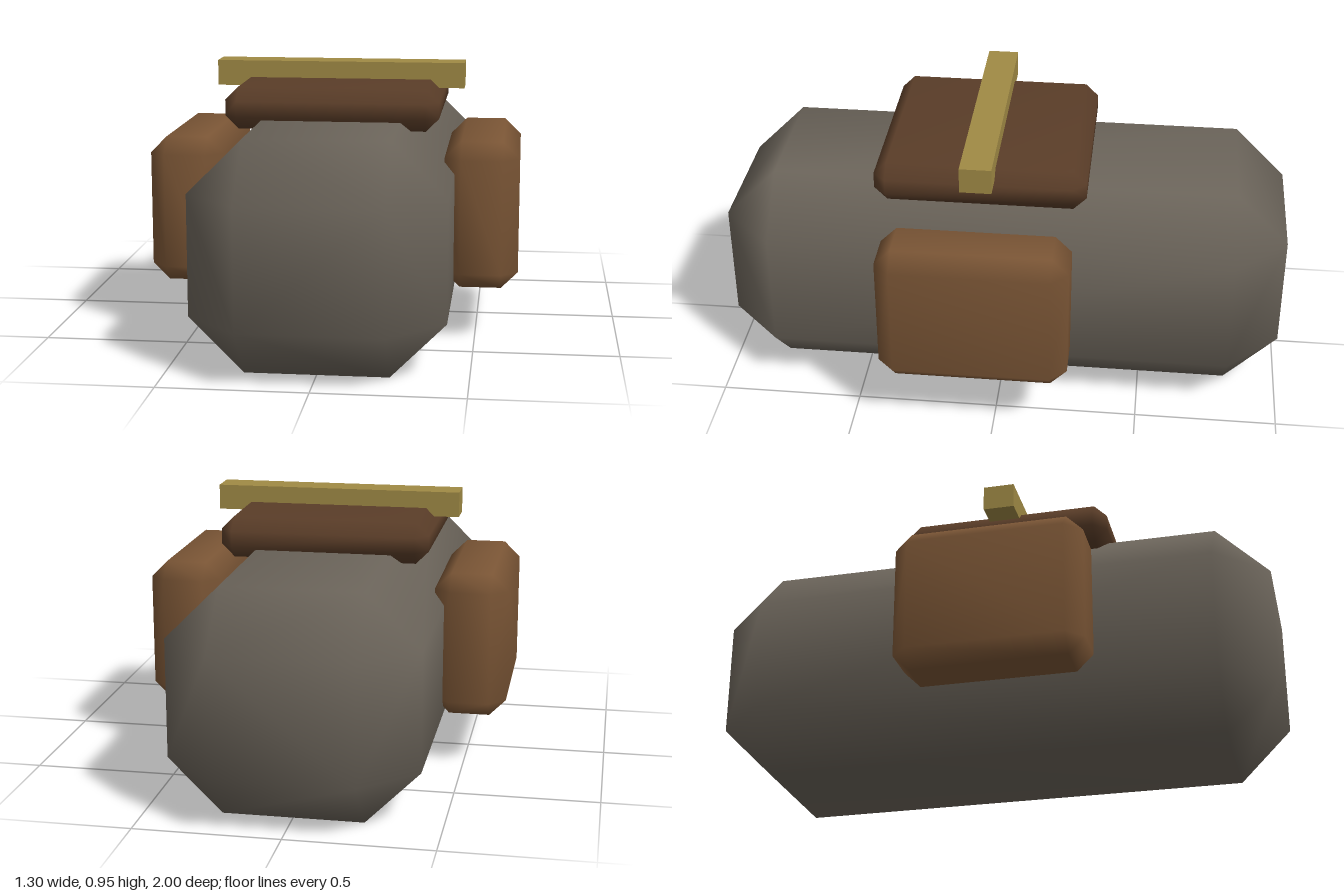
import * as THREE from 'three';
import { ConvexGeometry } from 'three/addons/geometries/ConvexGeometry.js';
import { mergeVertices } from 'three/addons/utils/BufferGeometryUtils.js';

// Box with every edge cut at 45 degrees by c, shaded smoothly across the cuts
function chamferBox(w, h, d, c) {
  const points = [];
  for (const sx of [-1, 1]) for (const sy of [-1, 1]) for (const sz of [-1, 1]) {
    const corner = new THREE.Vector3(sx * w / 2, sy * h / 2, sz * d / 2);
    // each corner becomes three points, one on each adjoining face
    for (const [kx, ky, kz] of [[0, 1, 1], [1, 0, 1], [1, 1, 0]]) {
      points.push(corner.clone().sub(new THREE.Vector3(sx * kx * c, sy * ky * c, sz * kz * c)));
    }
  }
  const hull = new ConvexGeometry(points);
  hull.deleteAttribute('normal');
  const geometry = mergeVertices(hull, 1e-4);
  geometry.computeVertexNormals();
  return geometry;
}

export function createModel() {
  const model = new THREE.Group();
  const add = (name, geometry, color, x, y, z) => {
    const mesh = new THREE.Mesh(geometry, new THREE.MeshStandardMaterial({ color }));
    mesh.name = name;
    mesh.position.set(x, y, z);
    model.add(mesh);
  };
  const loadZ = 0.073;

  // Long chamfered body
  add('body', chamferBox(0.85, 0.78, 2, 0.185), 0x6b645a, 0, 0.39, 0);

  // Saddle pad and the bar across it
  add('saddlePad', chamferBox(0.74, 0.145, 0.738, 0.045), 0x5a3d28, 0, 0.818, loadZ);
  add('crossBar', new THREE.BoxGeometry(0.89, 0.09, 0.11), 0xa08a45, 0, 0.906, loadZ);

  // Side bags
  const bag = chamferBox(0.26, 0.517, 0.662, 0.058);
  for (const [name, side] of [['leftBag', 1], ['rightBag', -1]]) {
    add(name, bag, 0x7a5535, side * 0.518, 0.447, loadZ);
  }
  return model;
}
